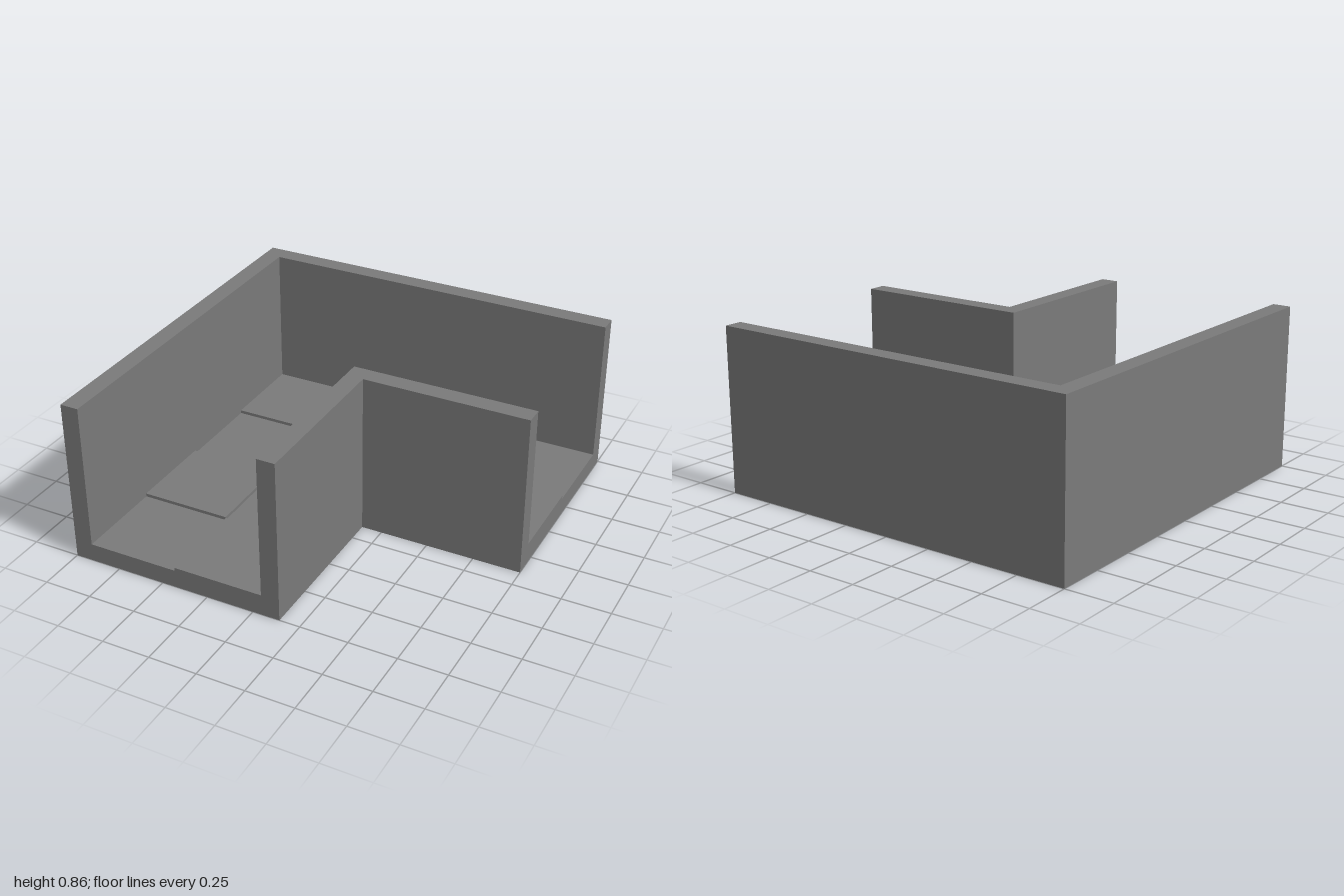
import * as THREE from 'three';

const WALL_TOP = 0.857, FLOOR_TOP = 0.095, TILE_TOP = 0.112;
const INNER = -0.905;              // inside face of the outer walls
const PITCH = (1 - INNER) / 4;     // tile spacing
const EDGE = INNER + 2 * PITCH;    // corridor face of the inner walls
const OUT = EDGE + 0.095;          // outside face of the inner walls
const GAP = 0.0025;

// Vertical prism from a plan outline of [x, z] points
function prism(name, outline, y0, y1, material) {
  const shape = new THREE.Shape(outline.map(([x, z]) => new THREE.Vector2(x, -z)));
  const geometry = new THREE.ExtrudeGeometry(shape, { depth: y1 - y0, bevelEnabled: false });
  geometry.rotateX(-Math.PI / 2).translate(0, y0, 0);
  const mesh = new THREE.Mesh(geometry, material);
  mesh.name = name;
  return mesh;
}

// L-shaped plan whose two arms run from corner a to 1, with thickness b - a
const ell = (a, b) => [[a, a], [1, a], [1, b], [b, b], [b, 1], [a, 1]];

export function createModel() {
  const group = new THREE.Group();
  group.name = 'cornerCorridor';
  const material = new THREE.MeshStandardMaterial({ color: 0x7a7a7a, flatShading: true });

  // Base slab and the two L-shaped walls
  group.add(
    prism('floorSlab', ell(-1, OUT), 0, FLOOR_TOP, material),
    prism('outerWall', ell(-1, INNER), FLOOR_TOP, WALL_TOP, material),
    prism('innerWall', ell(EDGE, OUT), FLOOR_TOP, WALL_TOP, material)
  );

  // Raised floor tiles in a checker pattern; rim tiles run up to the walls and ends
  const tiles = new THREE.Group();
  tiles.name = 'floorTiles';
  const span = (i, other) => {
    const last = i === 3 || (i === 1 && other > 1);
    return [INNER + i * PITCH + (i === 0 ? 0 : GAP), INNER + (i + 1) * PITCH - (last ? 0 : GAP)];
  };
  for (let row = 0; row < 4; row++) {
    for (let col = 0; col < 4; col++) {
      if ((row > 1 && col > 1) || (row + col) % 2) continue;
      const [x0, x1] = span(col, row), [z0, z1] = span(row, col);
      tiles.add(prism('raisedTile', [[x0, z0], [x1, z0], [x1, z1], [x0, z1]], FLOOR_TOP, TILE_TOP, material));
    }
  }
  group.add(tiles);
  return group;
}
